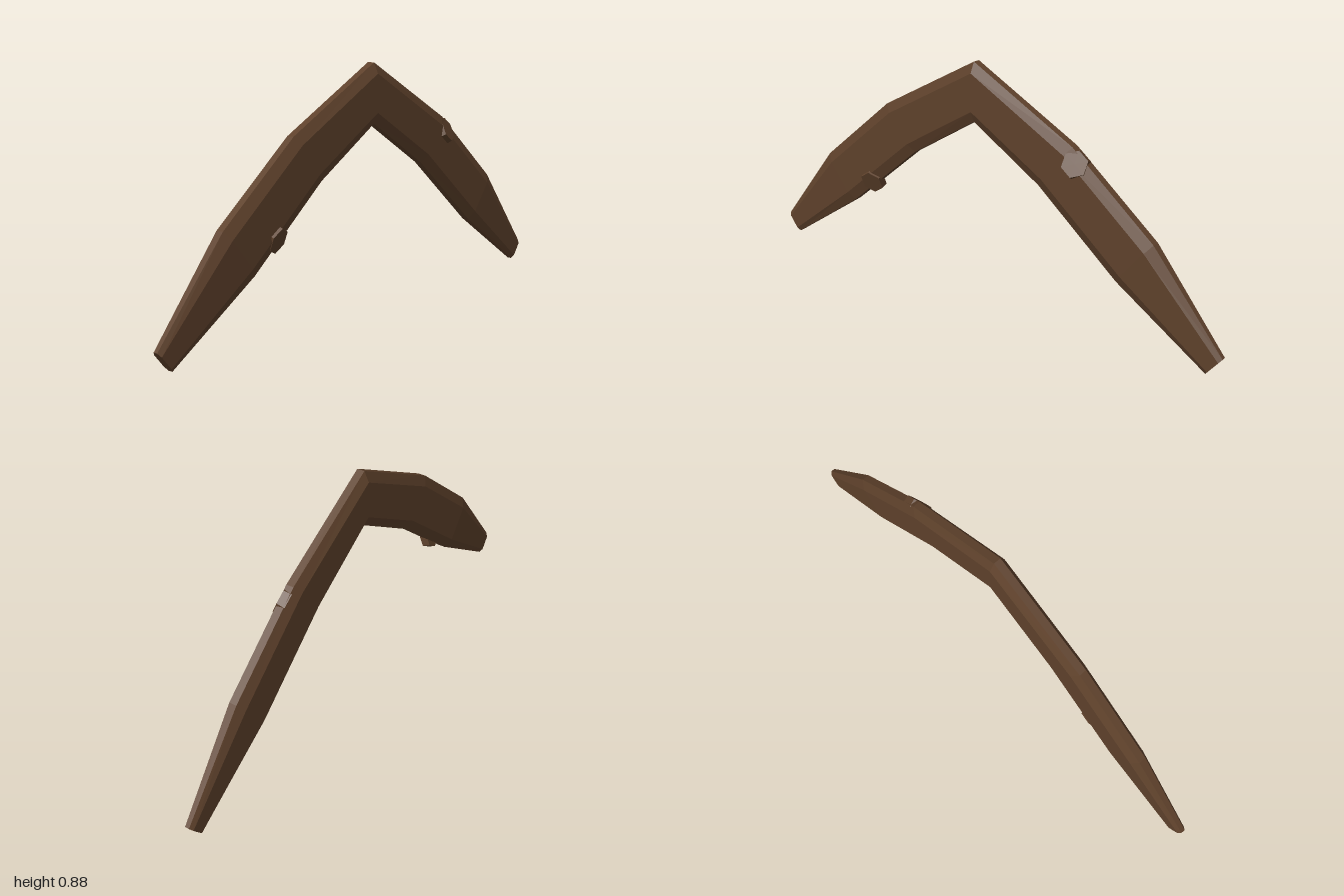
import * as THREE from 'three';

const wood = new THREE.MeshStandardMaterial({ color: 0x5e412b });
wood.name = 'dark brown wood';

// Stations from the elbow to one tip: outer x, y, inner x, y, half depth, half width of the edge
const HALF = [
  [0, 0.875, 0, 0.66, 0.032, 0.014],
  [0.415, 0.652, 0.28, 0.49, 0.032, 0.014],
  [0.735, 0.39, 0.602, 0.225, 0.032, 0.014],
  [1, 0.07, 0.945, 0, 0.017, 0.008],
];
const MID_Z = -0.01;
const BEVEL = 0.18;

// Bevelled eight-sided cross-section at one station
function section([ox, oy, ix, iy, h, e]) {
  const rim = [
    [0, e], [BEVEL, h], [1 - BEVEL, h], [1, e],
    [1, -e], [1 - BEVEL, -h], [BEVEL, -h], [0, -e],
  ];
  return rim.map(([u, z]) => [ix + (ox - ix) * u, iy + (oy - iy) * u, MID_Z + z]);
}

// Faceted bent body, lofted from tip to tip
function bodyGeometry() {
  const mirrored = HALF.slice(1).reverse().map(([ox, oy, ix, iy, h, e]) => [-ox, oy, -ix, iy, h, e]);
  const rings = [...mirrored, ...HALF].map(section);
  const pos = [];
  const tri = (a, b, c) => pos.push(...a, ...b, ...c);
  for (let i = 0; i < rings.length - 1; i++) {
    for (let k = 0; k < 8; k++) {
      const n = (k + 1) % 8;
      const a = rings[i][k], b = rings[i + 1][k], c = rings[i + 1][n], d = rings[i][n];
      tri(a, b, c);
      tri(a, c, d);
    }
  }
  // Blunt tips
  const first = rings[0], last = rings[rings.length - 1];
  for (let k = 1; k < 7; k++) {
    tri(first[0], first[k], first[k + 1]);
    tri(last[0], last[k + 1], last[k]);
  }
  const geo = new THREE.BufferGeometry();
  geo.setAttribute('position', new THREE.Float32BufferAttribute(pos, 3));
  geo.computeVertexNormals();
  return geo;
}

// Six-sided knot, its flat face turned along the given normal
function makeKnot(name, center, normal, spin) {
  const depth = 0.03;
  const geo = new THREE.CylinderGeometry(0.047, 0.05, depth, 6).toNonIndexed();
  geo.rotateY(spin);
  geo.translate(0, -depth / 2, 0);
  geo.computeVertexNormals();
  const knot = new THREE.Mesh(geo, wood);
  knot.name = name;
  knot.position.set(...center);
  knot.quaternion.setFromUnitVectors(new THREE.Vector3(0, 1, 0), new THREE.Vector3(...normal).normalize());
  return knot;
}

export function createModel() {
  const model = new THREE.Group();
  model.name = 'boomerang';
  const body = new THREE.Mesh(bodyGeometry(), wood);
  body.name = 'body';
  model.add(body);
  model.add(makeKnot('leftKnot', [0.435, 0.602, 0.019], [0.3, 0.45, 1], 0.1));
  model.add(makeKnot('rightKnot', [-0.5, 0.322, 0.014], [0.22, -0.4, 1], 0.3));
  return model;
}
